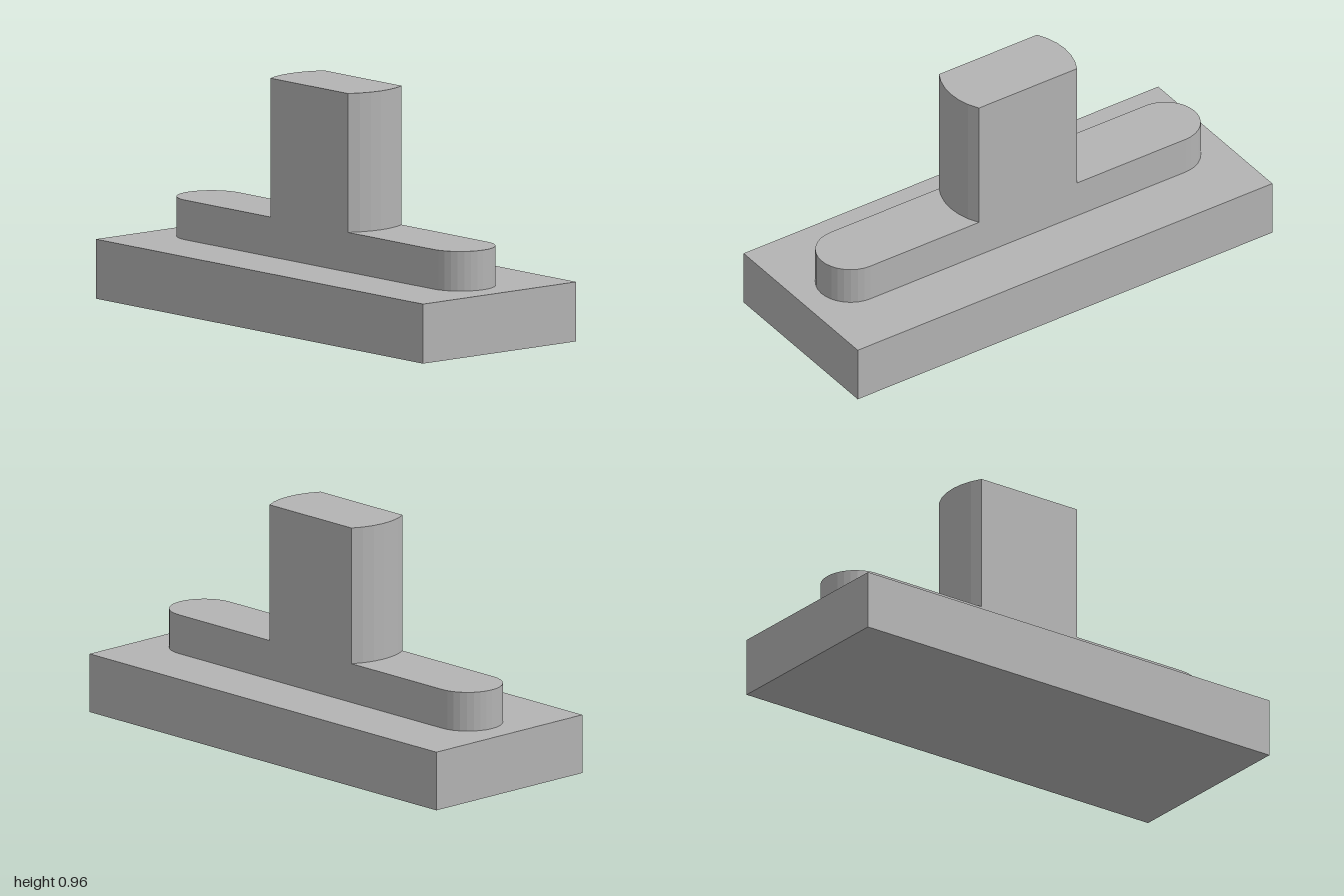
import * as THREE from 'three';

// Extrudes a plan outline upwards from y0 to y1
function prism(name, shape, y0, y1, curveSegments, material) {
  const geometry = new THREE.ExtrudeGeometry(shape, { depth: y1 - y0, bevelEnabled: false, curveSegments });
  geometry.rotateX(-Math.PI / 2);
  geometry.translate(0, y0, 0);
  const mesh = new THREE.Mesh(geometry, material);
  mesh.name = name;
  return mesh;
}

// Plan outline with two straight sides and an arc at each end
function arcEnded(centreX, radius, halfAngle) {
  const shape = new THREE.Shape();
  shape.absarc(centreX, 0, radius, -halfAngle, halfAngle, false);
  shape.absarc(-centreX, 0, radius, Math.PI - halfAngle, Math.PI + halfAngle, false);
  shape.closePath();
  return shape;
}

export function createModel() {
  const group = new THREE.Group();
  group.name = 'slidingBlock';
  const grey = new THREE.MeshStandardMaterial({ color: 0xb3b3b3 });
  grey.name = 'plain grey';

  // Rectangular base
  const base = new THREE.Mesh(new THREE.BoxGeometry(2, 0.24, 0.8), grey);
  base.name = 'base';
  base.position.y = 0.12;
  group.add(base);

  // Long key with fully rounded ends
  const halfDepth = 0.14;
  group.add(prism('key', arcEnded(0.76, halfDepth, Math.PI / 2), 0.24, 0.4, 8, grey));

  // Upright post: a cylinder cut flat at front and back
  const postRadius = 0.275;
  group.add(prism('post', arcEnded(0, postRadius, Math.asin(halfDepth / postRadius)), 0.4, 0.96, 3, grey));

  return group;
}
